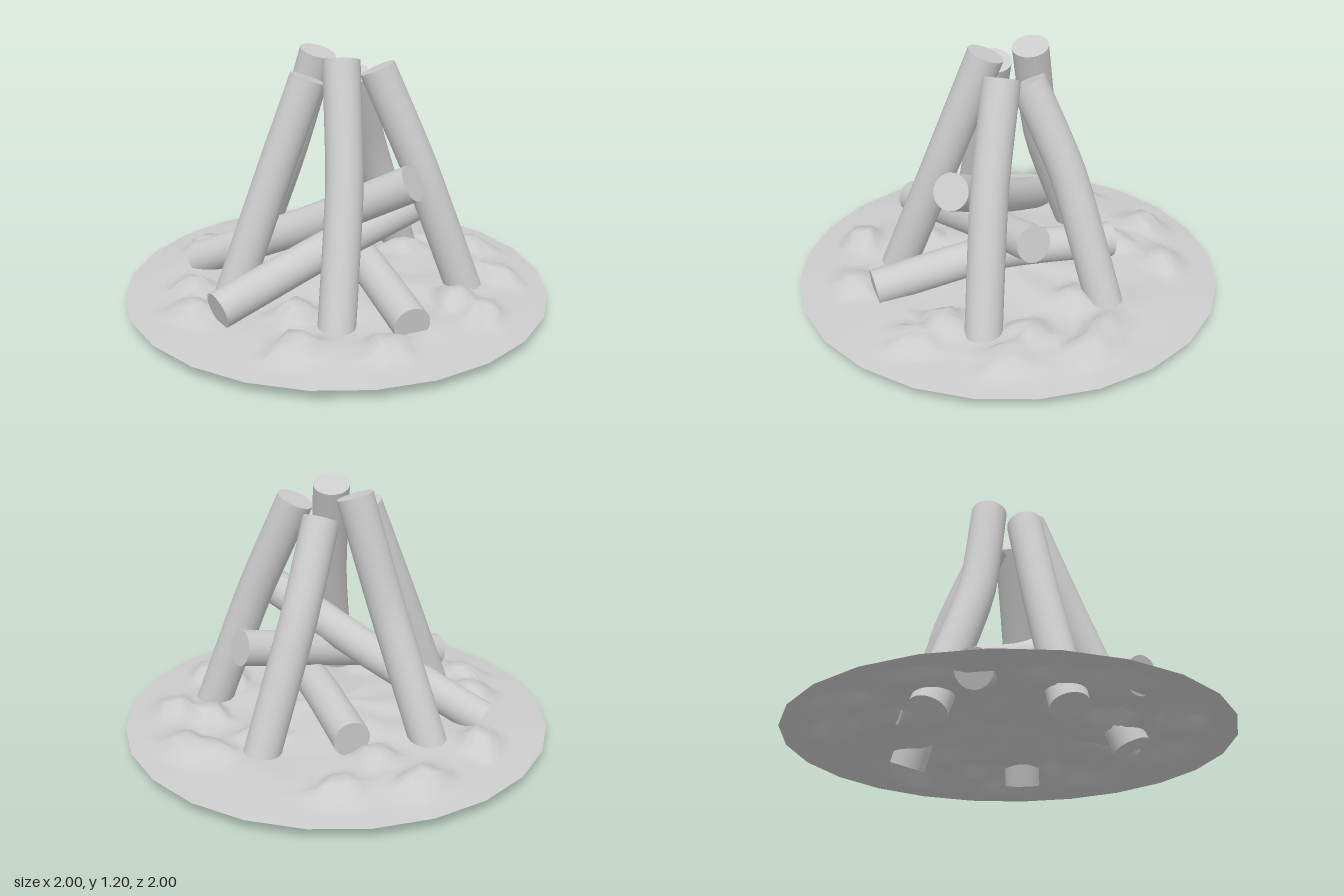
import * as THREE from 'three';
import { mergeGeometries, mergeVertices } from 'three/addons/utils/BufferGeometryUtils.js';

const material = new THREE.MeshStandardMaterial({ color: 0xcccccc });
const groundMaterial = new THREE.MeshStandardMaterial({ color: 0xcccccc, side: THREE.DoubleSide });
const LOG_RADIUS = 0.084;
const SIDES = 24;

// A round log swept along a path bent at its middle, with a flat cap on each end
function makeLog(name, points) {
  const path = points.map(p => new THREE.Vector3(...p));
  const curve = new THREE.CatmullRomCurve3(path, false, 'catmullrom', 0.3);
  const parts = [new THREE.TubeGeometry(curve, 10, LOG_RADIUS, SIDES)];
  for (const t of [0, 1]) {
    const outward = curve.getTangent(t).multiplyScalar(t ? 1 : -1);
    const end = curve.getPoint(t);
    const cap = new THREE.CircleGeometry(LOG_RADIUS, SIDES);
    cap.lookAt(outward);
    cap.translate(end.x, end.y, end.z);
    parts.push(cap);
  }
  const mesh = new THREE.Mesh(mergeGeometries(parts), material);
  mesh.name = name;
  return mesh;
}

// Thin ash bed: a 24-sided disc with a low central mound and blocky flat-topped lumps
function makeGround() {
  const lumps = [
    [-0.47, -0.6], [-0.72, -0.33], [0.19, -0.7], [0.33, -0.72], [0.42, -0.45], [0.62, -0.48],
    [0.6, -0.1], [0.75, -0.08], [0.6, 0.45], [0.3, 0.7], [-0.3, 0.7], [-0.46, 0.52],
    [-0.75, 0.1], [0.08, -0.46], [0.12, 0.46], [-0.45, -0.3],
  ];
  const step = Math.PI / 12;
  const flat = new THREE.RingGeometry(0.0001, 1, 72, 28);
  flat.rotateX(-Math.PI / 2);
  flat.deleteAttribute('normal');
  flat.deleteAttribute('uv');
  const geometry = mergeVertices(flat, 1e-5);
  const pos = geometry.attributes.position;
  for (let i = 0; i < pos.count; i++) {
    const x = pos.getX(i), z = pos.getZ(i);
    const r = Math.hypot(x, z);
    const a = Math.atan2(z, x) + Math.PI * 2;
    // Pull the rim in to straight edges
    const k = Math.cos(step / 2) / Math.cos((a % step) - step / 2);
    let y = 0.06 + 0.04 * Math.min(1, (1 - r) / 0.3) + 0.05 * Math.max(0, 1 - r / 0.5);
    // Shallow wrinkles fading out at the rim
    y += 0.008 * Math.sin(a * 7 + r * 9) * Math.min(1, (1 - r) * 3) * Math.min(1, r * 3);
    let lift = 0;
    lumps.forEach(([lx, lz], n) => {
      // Distance along and across the lump's own turned axes
      const c = Math.cos(n * 1.7), s = Math.sin(n * 1.7);
      const d = Math.max(Math.abs((x - lx) * c + (z - lz) * s), Math.abs((z - lz) * c - (x - lx) * s));
      const slope = THREE.MathUtils.clamp((0.1 - d) / 0.05, 0, 1);
      lift = Math.max(lift, slope * (0.055 + 0.01 * Math.sin(n * 2.3)));
    });
    pos.setXYZ(i, x * k, y + lift, z * k);
  }
  geometry.computeVertexNormals();
  const mesh = new THREE.Mesh(geometry, groundMaterial);
  mesh.name = 'ashBed';
  return mesh;
}

export function createModel() {
  const group = new THREE.Group();
  group.name = 'campfire';
  group.add(makeGround());

  // Standing logs, base to top, leaning together
  const standing = [
    [[-0.555, 0.035, -0.02], [-0.28, 0.66, 0.01], [-0.125, 1.17, -0.03]],
    [[0, 0.035, -0.575], [-0.03, 0.65, -0.32], [0, 1.06, -0.11]],
    [[0.55, 0.035, -0.29], [0.35, 0.66, -0.17], [0.16, 1.12, -0.09]],
    [[-0.27, 0.035, 0.475], [-0.16, 0.62, 0.28], [-0.06, 1.085, 0.13]],
    [[0.32, 0.035, 0.44], [0.205, 0.66, 0.22], [0.075, 1.17, 0.065]],
  ];
  standing.forEach((p, i) => group.add(makeLog('standingLog' + (i + 1), p)));

  // Low logs crossing through the middle
  const crossing = [
    [[-0.645, 0.115, 0.27], [-0.1, 0.37, 0.13], [0.41, 0.65, -0.005]],
    [[-0.11, 0.165, 0.715], [0.08, 0.32, 0.17], [0.28, 0.455, -0.36]],
    [[0.615, 0.14, 0.295], [0.12, 0.22, -0.03], [-0.35, 0.185, -0.355]],
  ];
  crossing.forEach((p, i) => group.add(makeLog('crossingLog' + (i + 1), p)));
  return group;
}
